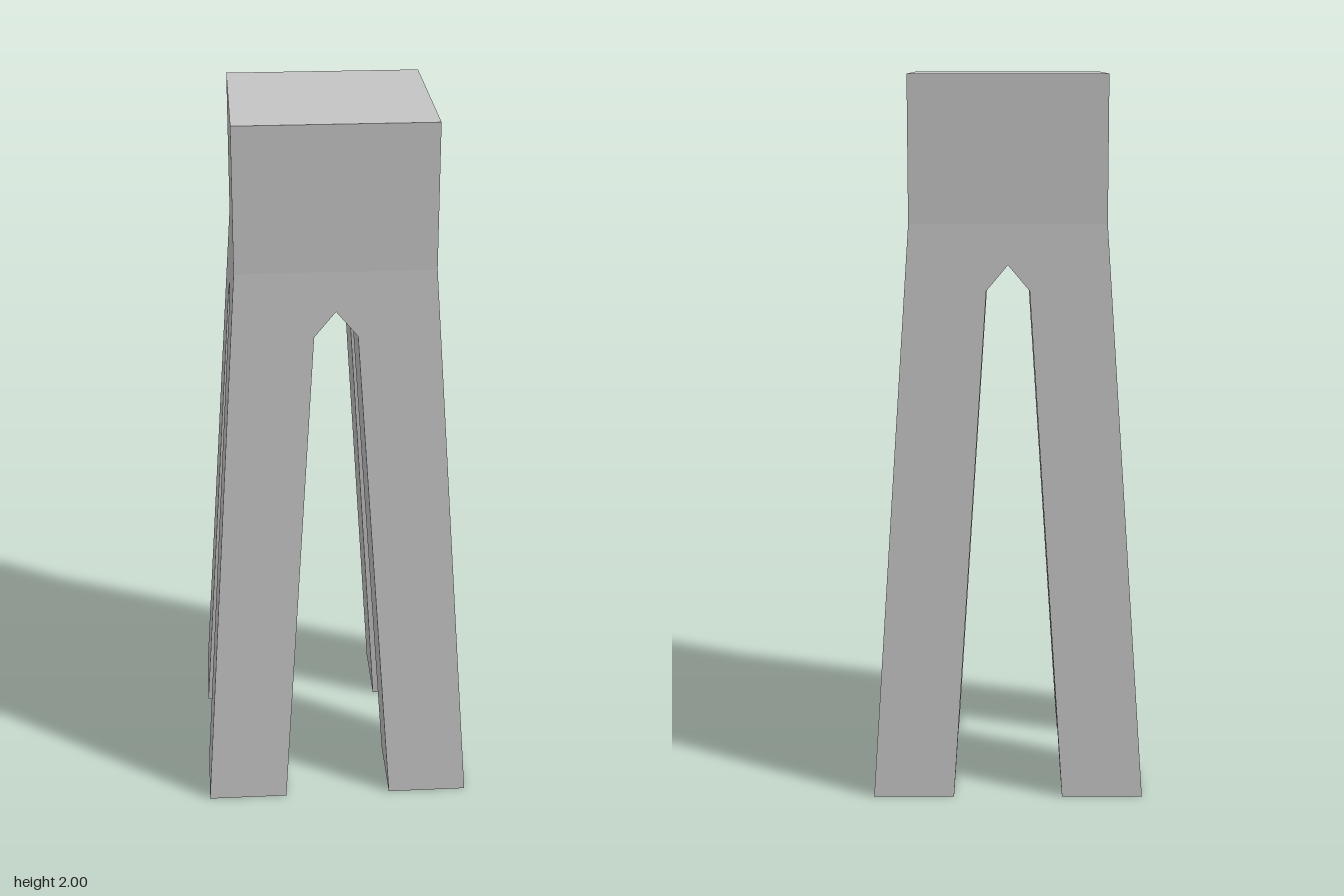
import * as THREE from 'three';

const FOOT = 0.377, HALF = 0.27, BEND = 1.6, TOP = 2;   // outer half widths and heights
const INNER = 0.152, SPRING_X = 0.059, SPRING_Y = 1.42, APEX = 1.49; // leg gap and arch

// outer half width at a height
const outer = (y) => (y >= BEND ? HALF : FOOT + (HALF - FOOT) * (y / BEND));
// point on the front outer face
const face = (x, y) => [x, y, outer(y)];
const mirror = (poly) => poly.map(([x, y, z]) => [-x, y, z]).reverse();

// flat-faced geometry from convex polygons, each fanned from its first corner
function fromPolygons(polys) {
  const pos = [];
  for (const p of polys) {
    for (let i = 1; i < p.length - 1; i++) pos.push(...p[0], ...p[i], ...p[i + 1]);
  }
  const g = new THREE.BufferGeometry();
  g.setAttribute('position', new THREE.Float32BufferAttribute(pos, 3));
  g.computeVertexNormals();
  return g;
}

export function createModel() {
  const group = new THREE.Group();
  group.name = 'fourLeggedTower';
  const grey = new THREE.MeshStandardMaterial({ color: 0xc4c4c4 });
  grey.name = 'plainGrey';

  const S = SPRING_X, Y = SPRING_Y, oY = outer(SPRING_Y);

  // leg: two outer faces, two tunnel faces and the sole; symmetric across x = z
  const legHalf = [
    [face(INNER, 0), face(FOOT, 0), face(oY, Y), face(S, Y)],
    [[INNER, 0, INNER], [INNER, 0, FOOT], [S, Y, oY], [S, Y, S]],
  ];
  const swap = (poly) => poly.map(([x, y, z]) => [z, y, x]).reverse();
  const sole = [[INNER, 0, INNER], [FOOT, 0, INNER], [FOOT, 0, FOOT], [INNER, 0, FOOT]];
  const leg = fromPolygons([...legHalf, ...legHalf.map(swap), sole]);

  // shoulder above the legs, with the pointed arch cut into it
  const shoulderHalf = [face(oY, Y), face(HALF, BEND), face(0, BEND), face(0, APEX), face(S, Y)];
  const shoulder = fromPolygons([shoulderHalf, mirror(shoulderHalf)]);

  // pointed vault behind the arch, meeting its neighbours at the centre
  const vaultHalf = [[S, Y, S], [S, Y, oY], face(0, APEX), [0, APEX, 0]];
  const vault = fromPolygons([vaultHalf, mirror(vaultHalf)]);

  // straight block: one side and its quarter of the top
  const block = fromPolygons([
    [face(-HALF, BEND), face(HALF, BEND), face(HALF, TOP), face(-HALF, TOP)],
    [[0, TOP, 0], face(-HALF, TOP), face(HALF, TOP)],
  ]);

  // four identical quarters around the axis
  const parts = { leg, shoulder, archVault: vault, topBlockSide: block };
  for (let i = 0; i < 4; i++) {
    for (const [name, geometry] of Object.entries(parts)) {
      const mesh = new THREE.Mesh(geometry, grey);
      mesh.name = name + (i + 1);
      mesh.rotation.y = i * Math.PI / 2;
      group.add(mesh);
    }
  }
  return group;
}
